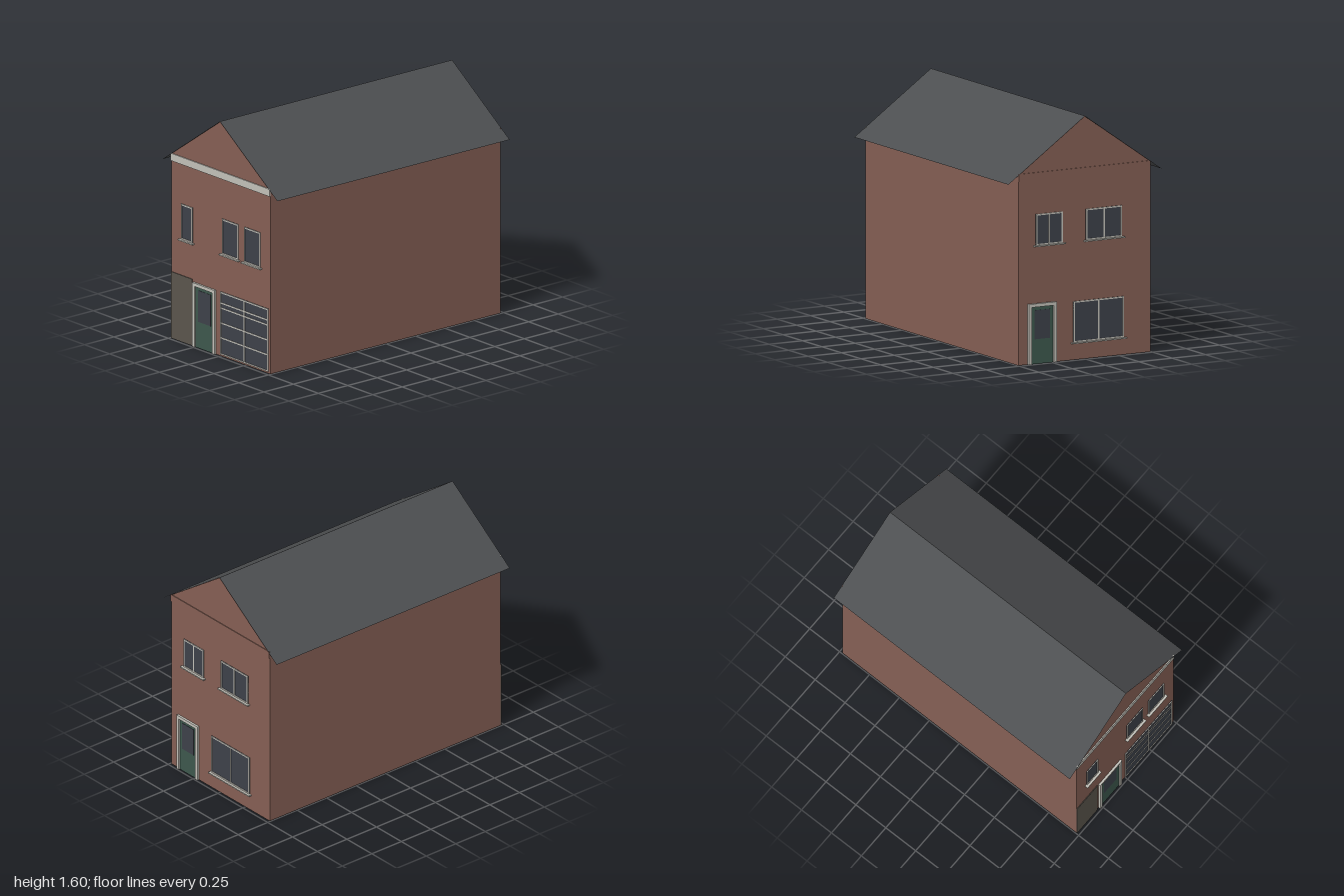
import * as THREE from 'three';

const mat = (color, side = THREE.FrontSide) => new THREE.MeshStandardMaterial({ color, side, flatShading: true });
const brick = mat(0x855f54, THREE.DoubleSide);
const slate = mat(0x4d4f51, THREE.DoubleSide);
const trim = mat(0xc2c0b8);
const glass = mat(0x3d4149);
const green = mat(0x3d584d);
const plinth = mat(0x5b554d);

const W = 0.495, D = 0.978;              // half width and half depth of the walls
const EAVE = 1.26, RIDGE = 1.6;

function add(parent, name, geometry, material) {
  const mesh = new THREE.Mesh(geometry, material);
  mesh.name = name;
  parent.add(mesh);
  return mesh;
}

// Box standing out from a facade, given by its edges and its depth
function slab(parent, name, x0, x1, y0, y1, depth, material) {
  const mesh = add(parent, name, new THREE.BoxGeometry(x1 - x0, y1 - y0, depth), material);
  mesh.position.set((x0 + x1) / 2, (y0 + y1) / 2, depth / 2);
  return mesh;
}

function group(parent, name) {
  const g = new THREE.Group();
  g.name = name;
  parent.add(g);
  return g;
}

// Four-sided (or three-sided, without a threshold) frame around an opening
function frame(parent, x0, x1, y0, y1, t, depth, threshold = true) {
  slab(parent, 'frameLeft', x0, x0 + t, y0, y1, depth, trim);
  slab(parent, 'frameRight', x1 - t, x1, y0, y1, depth, trim);
  slab(parent, 'frameTop', x0 + t, x1 - t, y1 - t, y1, depth, trim);
  if (threshold) slab(parent, 'frameBottom', x0 + t, x1 - t, y0, y0 + t, depth, trim);
}

// Glazed window with optional upright and cross bars and a sill
function windowUnit(parent, name, x0, x1, y0, y1, { uprights = [], bars = [], sill = true } = {}) {
  const g = group(parent, name), t = 0.009;
  slab(g, 'pane', x0, x1, y0, y1, 0.003, glass);
  frame(g, x0, x1, y0, y1, t, 0.007);
  for (const x of uprights) slab(g, 'upright', x - t / 2, x + t / 2, y0, y1, 0.0065, trim);
  for (const y of bars) slab(g, 'crossBar', x0, x1, y - t / 2, y + t / 2, 0.006, trim);
  if (sill) slab(g, 'sill', x0 - 0.015, x1 + 0.015, y0 - 0.008, y0, 0.022, trim);
}

// Framed door with a glazed upper half
function door(parent, name, x0, x1, top) {
  const g = group(parent, name), t = 0.022;
  slab(g, 'doorLeaf', x0 + t, x1 - t, 0, top - t, 0.005, green);
  slab(g, 'doorPane', x0 + 0.048, x1 - 0.048, top * 0.41, top - 0.044, 0.007, glass);
  frame(g, x0, x1, 0, top, t, 0.015, false);
}

export function createModel() {
  const house = new THREE.Group();
  house.name = 'house';

  // Side walls; the house is open underneath
  for (const s of [-1, 1]) {
    const wall = add(house, 'sideWall', new THREE.PlaneGeometry(2 * D, EAVE - 0.005), brick);
    wall.position.set(s * W, (EAVE - 0.005) / 2, 0);
    wall.rotation.y = s * Math.PI / 2;
  }

  // Front and back facades, both drawn facing outward
  const front = group(house, 'frontFacade');
  front.position.z = D;
  const back = group(house, 'backFacade');
  back.position.z = -D;
  back.rotation.y = Math.PI;
  const gable = new THREE.Shape([[-W, 0], [W, 0], [W, EAVE - 0.005], [0, RIDGE - 0.002], [-W, EAVE - 0.005]]
    .map(([x, y]) => new THREE.Vector2(x, y)));
  for (const f of [front, back]) add(f, 'gableWall', new THREE.ShapeGeometry(gable), brick);

  // Bands below the gables
  slab(front, 'frontBand', -W, W, 1.21, EAVE, 0.007, trim);
  slab(back, 'backBand', -W, W, 1.21, EAVE, 0.005, brick);

  // Front openings
  windowUnit(front, 'smallWindow', -0.393, -0.28, 0.7, 0.94);
  windowUnit(front, 'middleWindow', 0.017, 0.178, 0.7, 0.94);
  windowUnit(front, 'leftWindow', 0.237, 0.397, 0.7, 0.94);
  windowUnit(front, 'largeWindow', 0, 0.478, 0.012, 0.44,
    { uprights: [0.239], bars: [0.127, 0.228, 0.33, 0.364], sill: false });
  door(front, 'frontDoor', -0.27, -0.047, 0.437);
  slab(front, 'greyPanel', -W, -0.285, 0, 0.453, 0.005, plinth);

  // Back openings, in the turned facade's own x
  windowUnit(back, 'backUpperWindow', -0.365, -0.165, 0.78, 0.985, { uprights: [-0.265] });
  windowUnit(back, 'backUpperWideWindow', 0.01, 0.28, 0.78, 0.985, { uprights: [0.145] });
  windowUnit(back, 'backLowerWindow', -0.085, 0.295, 0.115, 0.385, { uprights: [0.105] });
  door(back, 'backDoor', -0.425, -0.215, 0.398);

  // Thin roof sheets overhanging the side walls
  const run = 0.575, drop = 0.4;
  for (const s of [-1, 1]) {
    const slope = add(house, 'roofSlope', new THREE.PlaneGeometry(Math.hypot(run, drop), 1.974), slate);
    slope.geometry.rotateX(-Math.PI / 2);
    slope.position.set(s * run / 2, RIDGE - drop / 2, 0);
    slope.rotation.z = -s * Math.atan2(drop, run);
  }
  return house;
}
